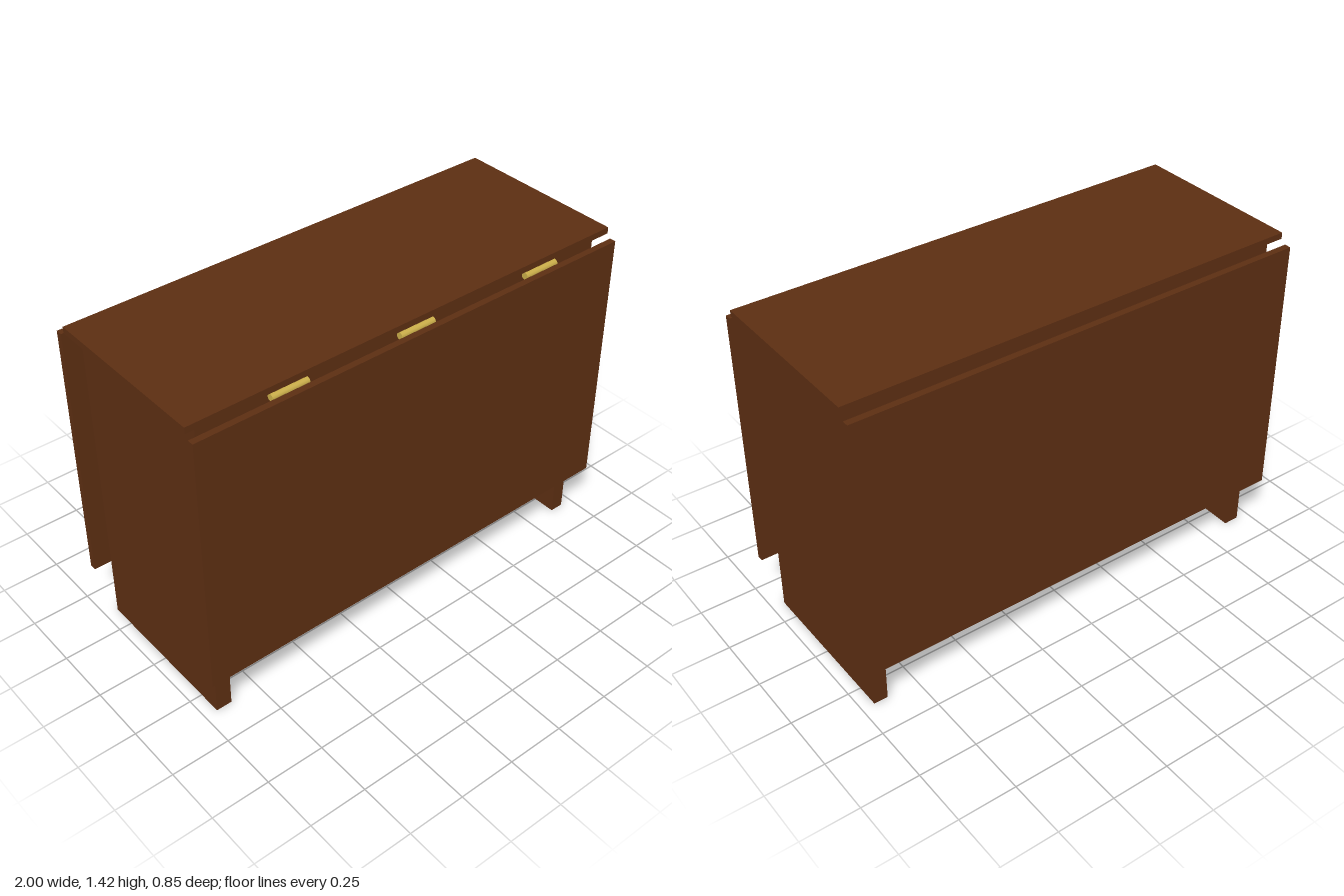
import * as THREE from 'three';

export function createModel() {
  const model = new THREE.Group();
  const wood = new THREE.MeshStandardMaterial({ color: 0x5c2e12 });
  const brass = new THREE.MeshStandardMaterial({ color: 0xc8ac48 });

  // Box given by its lower and upper limits on each axis
  function board(name, [x0, x1], [y0, y1], [z0, z1]) {
    const mesh = new THREE.Mesh(new THREE.BoxGeometry(x1 - x0, y1 - y0, z1 - z0), wood);
    mesh.position.set((x0 + x1) / 2, (y0 + y1) / 2, (z0 + z1) / 2);
    mesh.name = name;
    model.add(mesh);
  }

  // Fixed top and the two hanging leaves
  board('tableTop', [-1, 1], [1.389, 1.416], [-0.373, 0.38]);
  board('frontLeaf', [-1, 1], [0.229, 1.373], [0.396, 0.423]);
  board('backLeaf', [-1, 1], [0.229, 1.373], [-0.423, -0.395]);

  // Cabinet body between two full-height end panels
  const depth = [-0.352, 0.352];
  board('rightEndPanel', [-0.945, -0.877], [0, 1.385], depth);
  board('leftEndPanel', [0.885, 0.945], [0, 1.385], depth);
  board('cabinetBody', [-0.877, 0.885], [0.193, 1.385], depth);

  // Hinge barrels along the front edge
  for (const x of [-0.575, 0, 0.625]) {
    const hinge = new THREE.Mesh(new THREE.CylinderGeometry(0.015, 0.015, 0.16, 24), brass);
    hinge.rotation.z = Math.PI / 2;
    hinge.position.set(x, 1.373, 0.381);
    hinge.name = 'hinge';
    model.add(hinge);
  }
  return model;
}
